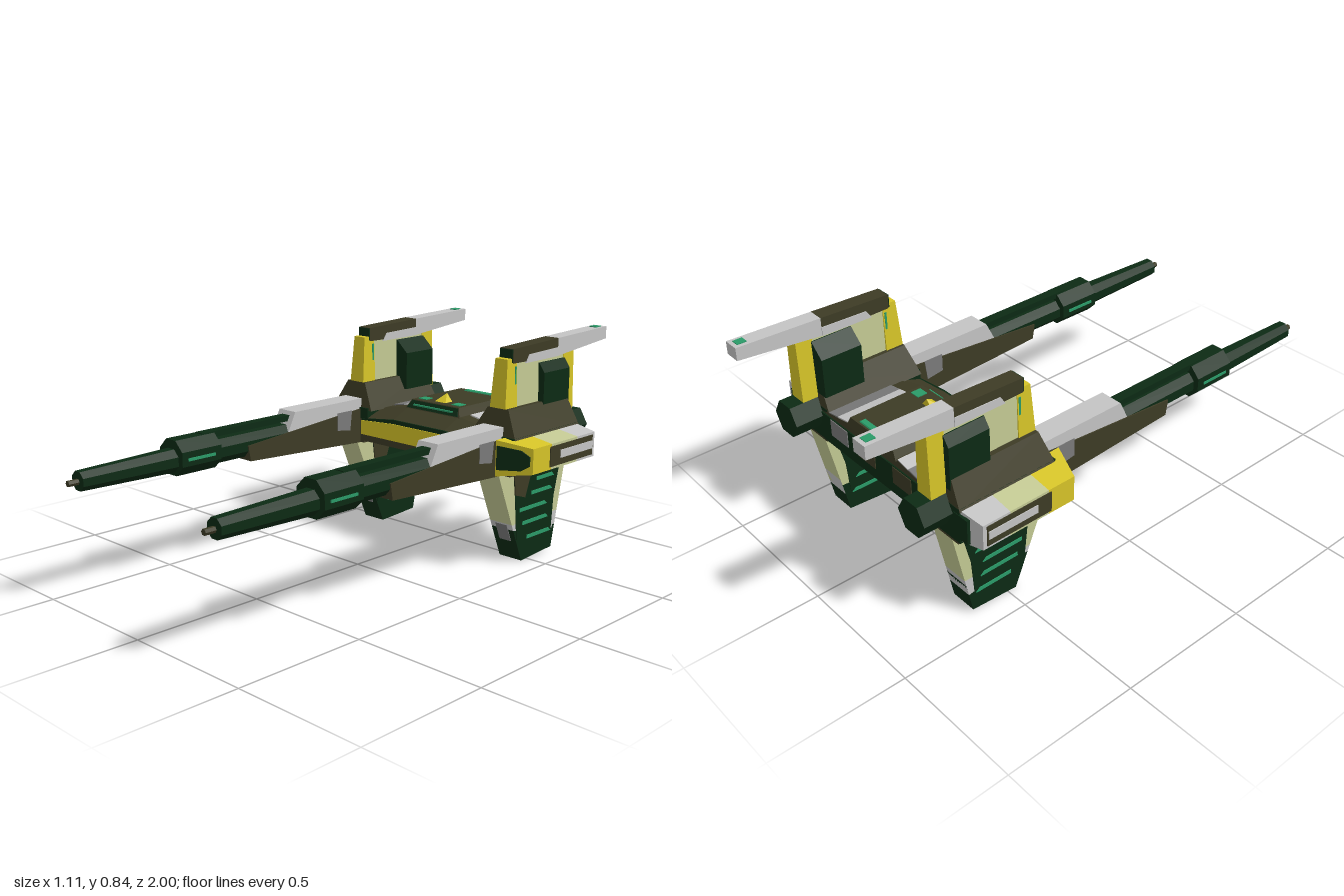
import * as THREE from 'three';

const paint = (name, color) => Object.assign(new THREE.MeshStandardMaterial({ color }), { name });

// Flat-sided solid between two matching convex loops of [x, y, z]; faces always point outward.
function loft(a, b) {
  const tris = [], n = a.length;
  for (let i = 0; i < n; i++) {
    const j = (i + 1) % n;
    tris.push([a[i], a[j], b[j]], [a[i], b[j], b[i]]);
    if (i > 0 && i < n - 1) tris.push([a[0], a[i + 1], a[i]], [b[0], b[i], b[i + 1]]);
  }
  const v = (p) => new THREE.Vector3(...p);
  const volume = tris.reduce((sum, [p, q, r]) => sum + v(p).dot(v(q).cross(v(r))), 0);
  if (volume < 0) tris.forEach((t) => t.reverse());
  const g = new THREE.BufferGeometry();
  g.setAttribute('position', new THREE.Float32BufferAttribute(tris.flat(2), 3));
  g.computeVertexNormals();
  return g;
}

export function createModel() {
  const darkGreen = paint('dark green', 0x0c2a14);
  const olive = paint('olive', 0x3d3b25);
  const yellow = paint('yellow', 0xd6c428);
  const cream = paint('pale khaki', 0xc3c993);
  const grey = paint('light grey', 0xc4c4c4);
  const emerald = paint('emerald', 0x2a9a68);
  const midGrey = paint('mid grey', 0x7a7a7a);

  const model = new THREE.Group();
  model.name = 'twinCannonCraft';
  let parent = model, s = 1;

  const add = (name, geo, mat) => {
    const m = new THREE.Mesh(geo, mat);
    m.name = name;
    parent.add(m);
    return m;
  };
  // Profile [z, y] spanning x0..x1
  const slab = (name, mat, pts, x0, x1) =>
    add(name, loft(pts.map(([z, y]) => [s * x0, y, z]), pts.map(([z, y]) => [s * x1, y, z])), mat);
  // Profile [x, y] spanning z0..z1
  const bar = (name, mat, pts, z0, z1) =>
    add(name, loft(pts.map(([x, y]) => [s * x, y, z0]), pts.map(([x, y]) => [s * x, y, z1])), mat);
  const box = (name, mat, x0, x1, y0, y1, z0, z1) =>
    bar(name, mat, [[x0, y0], [x1, y0], [x1, y1], [x0, y1]], z0, z1);
  // Rectangles [x0, x1, z0, z1] at two heights
  const rect = ([x0, x1, z0, z1], y) => [[s * x0, y, z0], [s * x1, y, z0], [s * x1, y, z1], [s * x0, y, z1]];
  const taper = (name, mat, lower, y0, upper, y1) => add(name, loft(rect(lower, y0), rect(upper, y1)), mat);
  // Faceted tube along z
  const tube = (name, mat, x, y, rBack, rFront, z0, z1, sides) => {
    const g = new THREE.CylinderGeometry(rFront, rBack, z1 - z0, sides).toNonIndexed();
    g.rotateY(Math.PI / sides);
    g.rotateX(Math.PI / 2);
    g.computeVertexNormals();
    add(name, g, mat).position.set(s * x, y, (z0 + z1) / 2);
  };

  // Central hull
  const hull = [[-0.31, 0.37], [0.31, 0.37], [0.31, 0.49], [0.13, 0.522], [-0.13, 0.522], [-0.31, 0.49]];
  const nose = [[-0.31, 0.37], [0.31, 0.37], [0.31, 0.46], [0.13, 0.48], [-0.13, 0.48], [-0.31, 0.46]];
  bar('hull', olive, hull, -0.73, -0.42);
  add('hullNose', loft(hull.map(([x, y]) => [x, y, -0.42]), nose.map(([x, y]) => [x, y, -0.33])), olive);
  bar('noseRecess', darkGreen, [[-0.3, 0.45], [0.3, 0.45], [0.3, 0.462], [0.13, 0.482], [-0.13, 0.482], [-0.3, 0.462]], -0.336, -0.327);
  bar('noseStripe', yellow, [[-0.3, 0.398], [0.3, 0.398], [0.3, 0.455], [0.13, 0.466], [-0.13, 0.466], [-0.3, 0.455]], -0.332, -0.323);
  box('rearPanel', darkGreen, -0.3, 0.3, 0.375, 0.488, -0.735, -0.728);
  for (const x of [-0.17, 0.03, 0.19]) box('rearPatch', x > 0.1 ? midGrey : olive, x - 0.05, x + 0.05, 0.42, 0.485, -0.738, -0.733);

  // Raised hatch with lights and marker
  taper('hatch', olive, [-0.14, 0.14, -0.735, -0.41], 0.515, [-0.12, 0.12, -0.73, -0.43], 0.553);
  add('hatchFront', loft(
    [[-0.13, 0.522, -0.409], [0.13, 0.522, -0.409], [0.118, 0.55, -0.427], [-0.118, 0.55, -0.427]],
    [[-0.13, 0.522, -0.414], [0.13, 0.522, -0.414], [0.118, 0.55, -0.432], [-0.118, 0.55, -0.432]]), darkGreen);
  box('hatchLight', emerald, -0.1, 0.1, 0.532, 0.538, -0.42, -0.412);
  taper('rearLight', emerald, [-0.08, 0.08, -0.725, -0.695], 0.55, [-0.075, 0.075, -0.72, -0.7], 0.557);
  for (const x of [-0.085, 0.085]) box('cornerLight', emerald, x - 0.02, x + 0.02, 0.55, 0.556, -0.49, -0.45);
  taper('marker', yellow, [-0.03, 0.03, -0.5, -0.455], 0.55, [-0.001, 0.001, -0.5, -0.498], 0.583);

  for (s of [1, -1]) {
    parent = new THREE.Group();
    parent.name = s > 0 ? 'leftSide' : 'rightSide';
    model.add(parent);

    // Light patch beside the hatch, following the hull slope
    const patch = (x0, x1, mat) => bar('deckPatch', mat, [
      [x0, 0.5272 - (x0 - 0.13) * 0.178], [x1, 0.5272 - (x1 - 0.13) * 0.178],
      [x1, 0.522 - (x1 - 0.13) * 0.178], [x0, 0.522 - (x0 - 0.13) * 0.178]], -0.73, -0.47);
    patch(0.145, 0.2, grey);
    patch(0.2, 0.255, midGrey);

    // Engine block and pylon
    box('engineBlock', darkGreen, 0.27, 0.46, 0.37, 0.505, -0.73, -0.33);
    box('engineUnderside', olive, 0.29, 0.45, 0.362, 0.37, -0.73, -0.33);
    taper('pylonBase', olive, [0.255, 0.465, -0.73, -0.335], 0.495, [0.315, 0.41, -0.72, -0.36], 0.6);
    tube('thruster', darkGreen, 0.36, 0.473, 0.068, 0.068, -0.84, -0.7, 6);

    // Side pod in three colour bands, narrowing outward
    const podFront = (t) => -0.28 - 0.05 * t;
    const band = (name, mat, inner, outer) => {
      const end = (x, [z0, z1], y0, y1) => [[s * x, y0, z0], [s * x, y1, z0], [s * x, y1, z1], [s * x, y0, z1]];
      add(name, loft(end(0.42, inner, 0.37, 0.505), end(0.55, outer, 0.39, 0.485)), mat);
    };
    band('podNose', yellow, [-0.44, podFront(0)], [-0.44, podFront(1)]);
    band('podMiddle', cream, [-0.6, -0.44], [-0.6, -0.44]);
    band('podTail', grey, [-0.73, -0.6], [-0.71, -0.6]);
    const inlet = (dz) => [[0.425, 0.395], [0.51, 0.4], [0.54, 0.42], [0.54, 0.455], [0.51, 0.475], [0.425, 0.485]]
      .map(([x, y]) => [s * x, y, podFront((x - 0.42) / 0.13) + dz]);
    add('podInlet', loft(inlet(0.004), inlet(-0.003)), darkGreen);
    box('podSidePanel', olive, 0.547, 0.553, 0.4, 0.476, -0.695, -0.43);
    box('podSideStripe', grey, 0.552, 0.556, 0.425, 0.455, -0.69, -0.49);
    box('podRearPanel', darkGreen, 0.43, 0.5, 0.39, 0.485, -0.732, -0.72);

    // Lower fin with dark foot, side panels and vents
    const front = (y) => -0.465 + 0.155 * y / 0.37, back = (y) => -0.65 - 0.078 * y / 0.37;
    const finPart = (name, mat, y0, y1, y2 = y0) =>
      slab(name, mat, [[front(y0), y0], [back(y2), y2], [back(y1), y1], [front(y1), y1]], 0.31, 0.412);
    finPart('lowerFin', cream, 0.155, 0.37, 0.1);
    finPart('lowerFinBand', grey, 0.13, 0.155, 0.085);
    finPart('lowerFinFoot', darkGreen, 0, 0.13, 0.012).name = 'lowerFinFoot';
    slab('footPatch', midGrey, [[front(0.08) + 0.003, 0.08], [front(0.15) + 0.003, 0.15], [front(0.15) - 0.003, 0.15], [front(0.08) - 0.003, 0.08]], 0.335, 0.388);
    for (const [x0, x1, xv0, xv1] of [[0.41, 0.415, 0.414, 0.418], [0.307, 0.312, 0.304, 0.308]]) {
      slab('lowerFinPanel', darkGreen, [[-0.43, 0.09], [-0.645, 0.09], [-0.655, 0.22], [-0.69, 0.36], [-0.4, 0.36], [-0.415, 0.25]], x0, x1);
      slab('panelPatch', olive, [[-0.41, 0.27], [-0.47, 0.25], [-0.51, 0.36], [-0.4, 0.36]], xv0, xv1);
      for (const [y, z0, z1] of [[0.09, -0.64, -0.49], [0.15, -0.62, -0.46], [0.205, -0.61, -0.44], [0.26, -0.64, -0.51], [0.31, -0.65, -0.54]])
        slab('vent', emerald, [[z0, y - 0.007], [z0 + 0.015, y + 0.007], [z1, y + 0.007], [z1, y - 0.007]], xv0, xv1);
    }

    // Upper fin with yellow edges and a dark power pack
    taper('finLeadingEdge', yellow, [0.322, 0.398, -0.43, -0.355], 0.54, [0.332, 0.388, -0.43, -0.375], 0.78);
    taper('finCore', cream, [0.33, 0.392, -0.73, -0.41], 0.55, [0.334, 0.386, -0.73, -0.41], 0.765);
    taper('finTrailingEdge', yellow, [0.326, 0.394, -0.785, -0.72], 0.53, [0.332, 0.388, -0.785, -0.72], 0.765);
    bar('powerPack', darkGreen, [[0.275, 0.55], [0.415, 0.55], [0.415, 0.71], [0.39, 0.745], [0.33, 0.75], [0.275, 0.7]], -0.725, -0.565);
    box('finLight', emerald, 0.328, 0.392, 0.62, 0.75, -0.425, -0.417);

    // Top rail
    slab('railFront', olive, [[-0.405, 0.762], [-0.405, 0.815], [-0.68, 0.825], [-0.68, 0.757]], 0.33, 0.39);
    box('railFace', darkGreen, 0.331, 0.389, 0.765, 0.813, -0.408, -0.401);
    slab('railRear', grey, [[-0.68, 0.757], [-0.68, 0.825], [-1, 0.835], [-1, 0.787]], 0.33, 0.39);
    slab('railSidePatch', grey, [[-0.48, 0.755], [-0.5, 0.785], [-0.68, 0.79], [-0.68, 0.757]], 0.327, 0.393);
    box('railTipLight', emerald, 0.345, 0.375, 0.828, 0.837, -0.985, -0.95);

    // Cannon housing and cover
    slab('cannonHousing', olive, [[0.26, 0.45], [0.25, 0.39], [-0.34, 0.36], [-0.34, 0.5], [0.02, 0.47]], 0.31, 0.41);
    slab('cannonCover', grey, [[0.06, 0.46], [0.02, 0.54], [-0.34, 0.54], [-0.34, 0.48]], 0.315, 0.405);
    for (const x of [0.308, 0.41]) slab('housingPatch', midGrey, [[-0.2, 0.43], [-0.2, 0.5], [-0.28, 0.5], [-0.27, 0.42]], x, x + 0.002);

    // Cannon barrel
    box('upperRod', darkGreen, 0.34, 0.38, 0.503, 0.525, -0.02, 0.45);
    tube('innerBarrel', darkGreen, 0.36, 0.447, 0.048, 0.048, 0, 0.45, 8);
    tube('sleeve', darkGreen, 0.36, 0.457, 0.07, 0.07, 0.4, 0.575, 8);
    for (const x of [0.292, 0.424]) box('sleeveLight', emerald, x - 0.002, x + 0.004, 0.45, 0.46, 0.43, 0.55);
    tube('barrel', darkGreen, 0.36, 0.447, 0.046, 0.036, 0.56, 0.96, 8);
    tube('muzzleTip', olive, 0.36, 0.445, 0.011, 0.011, 0.95, 1, 6);
  }
  return model;
}
